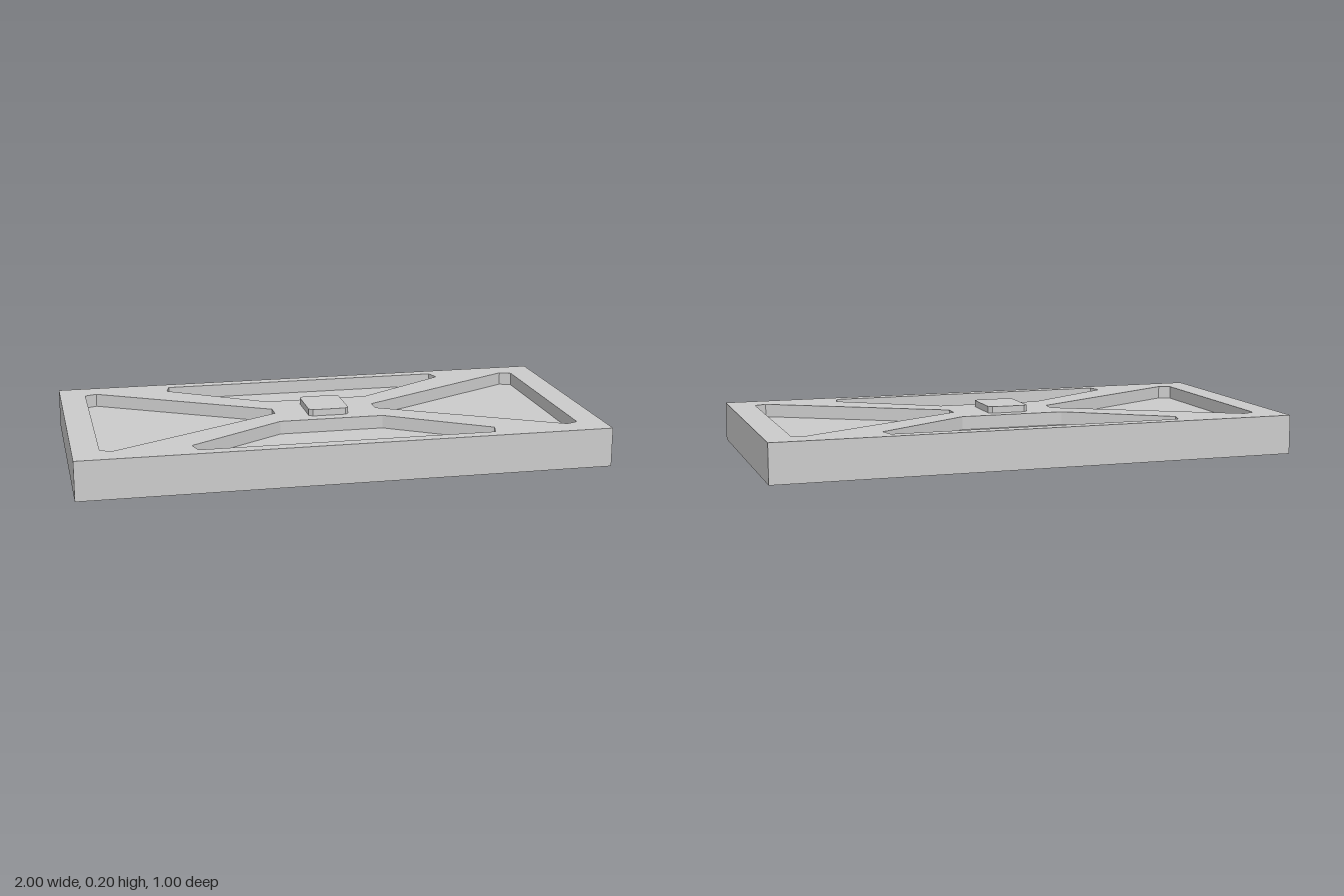
import * as THREE from 'three';

const material = new THREE.MeshStandardMaterial({ color: 0xcccccc, flatShading: true });

// Horizontal slab with the given plan outline, from height y0 to y1
function slab(name, points, y0, y1, holes = []) {
  const shape = new THREE.Shape(points);
  holes.forEach((h) => shape.holes.push(new THREE.Path(h)));
  const geo = new THREE.ExtrudeGeometry(shape, { depth: y1 - y0, bevelEnabled: false });
  geo.rotateX(-Math.PI / 2).translate(0, y0, 0);
  const mesh = new THREE.Mesh(geo, material);
  mesh.name = name;
  return mesh;
}

const outline = (pairs, sx = 1, sy = 1) => pairs.map(([x, y]) => new THREE.Vector2(x * sx, y * sy));

export function createModel() {
  const group = new THREE.Group();
  group.name = 'ribbedPlate';

  const bottom = 0.026, top = 0.175, pocketDepth = 0.05;

  // Plan outlines of the pockets between the diagonal ribs
  const side = [[0.2, -0.03], [0.855, -0.405], [0.9, -0.387], [0.9, 0.387], [0.855, 0.405], [0.2, 0.03]];
  const end = [[-0.2, 0.148], [0.2, 0.148], [0.57, 0.395], [0.555, 0.452], [-0.555, 0.452], [-0.57, 0.395]];
  const pockets = {
    leftWeb: outline(side),
    rightWeb: outline(side, -1, 1),
    backWeb: outline(end),
    frontWeb: outline(end, 1, -1),
  };

  // Rim and ribs in one piece, open at the pockets
  const rim = outline([[-1, -0.5], [1, -0.5], [1, 0.5], [-1, 0.5]]);
  group.add(slab('frame', rim, bottom, top, Object.values(pockets)));

  // Thin webs closing each pocket at mid height
  for (const [name, points] of Object.entries(pockets)) {
    group.add(slab(name, points, bottom + pocketDepth, top - pocketDepth));
  }

  // Chamfered pads at the centre, above and below
  const w = 0.078, d = 0.1, c = 0.014;
  const pad = outline([[-w + c, -d], [w - c, -d], [w, -d + c], [w, d - c],
    [w - c, d], [-w + c, d], [-w, d - c], [-w, -d + c]]);
  group.add(slab('topPad', pad, top, 0.2));
  group.add(slab('bottomPad', pad, 0, bottom));

  return group;
}
